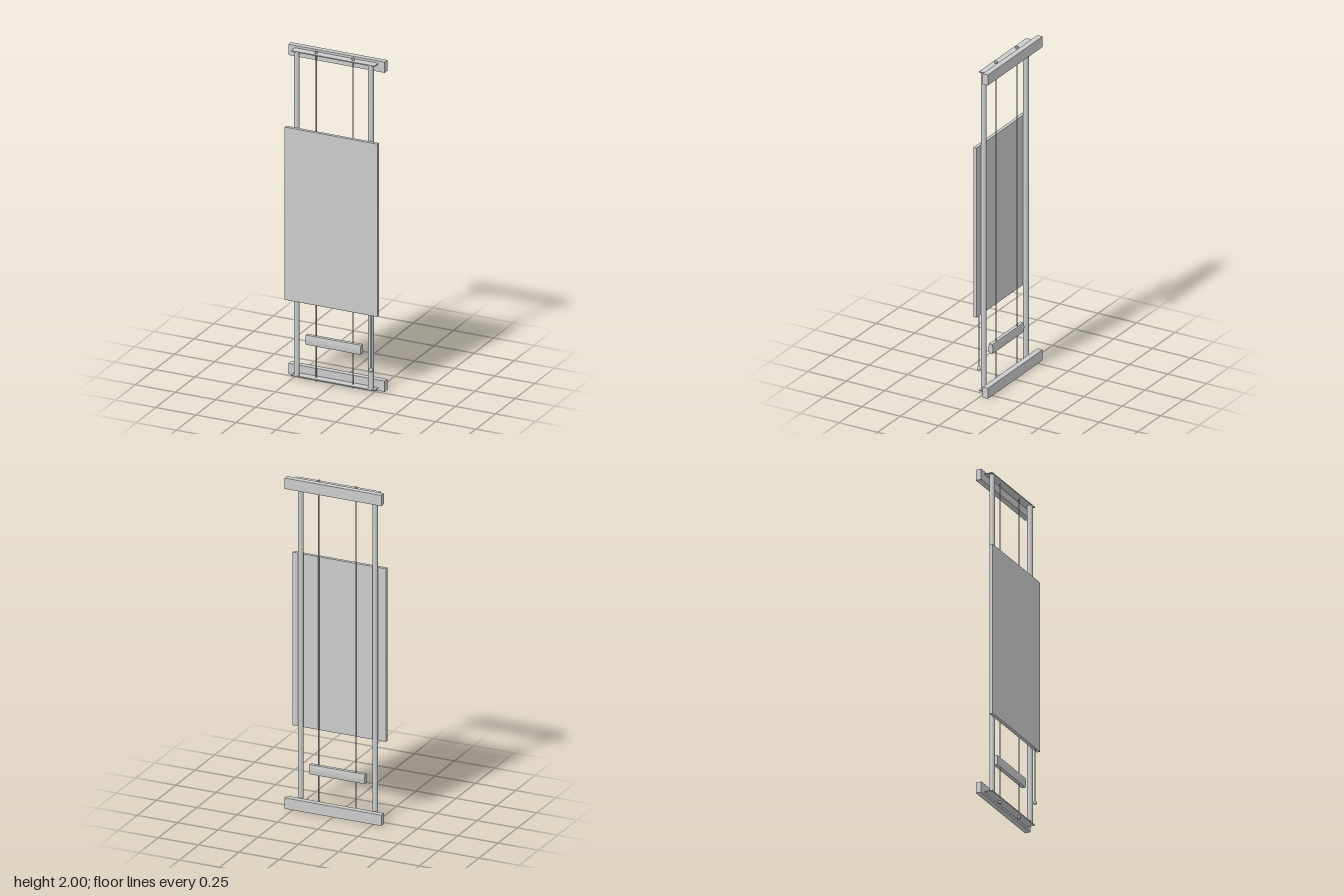
import * as THREE from 'three';

export function createModel() {
  const model = new THREE.Group();
  const grey = new THREE.MeshStandardMaterial({ color: 0xcccccc });

  const add = (name, geometry, x, y, z) => {
    const mesh = new THREE.Mesh(geometry, grey);
    mesh.name = name;
    mesh.position.set(x, y, z);
    model.add(mesh);
    return mesh;
  };
  const box = (name, w, h, d, x, y, z) => add(name, new THREE.BoxGeometry(w, h, d), x, y, z);
  const rod = (name, r, h, sides, x, y, z) => add(name, new THREE.CylinderGeometry(r, r, h, sides), x, y, z);

  // Wall battens with the thin plates that carry the posts
  for (const [end, battenY, plateY] of [['top', 1.967, 1.983], ['bottom', 0.036, 0.02]]) {
    box(end + 'Batten', 0.6, 0.065, 0.034, 0, battenY, -0.036);
    box(end + 'Plate', 0.52, 0.006, 0.049, 0, plateY, 0.0045);
  }

  // Posts and tension wires with hexagonal end stops
  for (const [side, s] of [['left', 1], ['right', -1]]) {
    rod(side + 'Post', 0.016, 1.96, 24, s * 0.231, 1.0015, 0.014);
    rod(side + 'Wire', 0.003, 1.99, 6, s * 0.115, 1, 0.004);
    for (const [end, y] of [['Top', 1.99], ['Bottom', 0.012]]) {
      rod(side + end + 'WireStop', 0.009, 0.016, 6, s * 0.115, y, 0.004).rotation.y = Math.PI / 6;
    }
  }

  // Sliding front panel
  box('panel', 0.578, 1.045, 0.02, -0.001, 1.0025, 0.038);

  // Bar on the wires, with a gently bowed front and back
  const h = 0.029, d = 0.011;
  const profile = new THREE.Shape();
  profile.moveTo(-d, -h);
  profile.quadraticCurveTo(-d - 0.006, 0, -d, h);
  profile.lineTo(d, h);
  profile.quadraticCurveTo(d + 0.006, 0, d, -h);
  profile.closePath();
  const barGeometry = new THREE.ExtrudeGeometry(profile, { depth: 0.345, bevelEnabled: false, curveSegments: 8 });
  barGeometry.translate(0, 0, -0.1725);
  barGeometry.rotateY(Math.PI / 2);
  add('counterweightBar', barGeometry, -0.003, 0.246, 0.006);

  // Pull cord and knob hanging below the panel
  rod('pullCord', 0.003, 0.34, 6, 0.242, 0.32, 0.039);
  add('pullKnob', new THREE.SphereGeometry(0.012, 16, 12), 0.242, 0.147, 0.039);

  return model;
}
